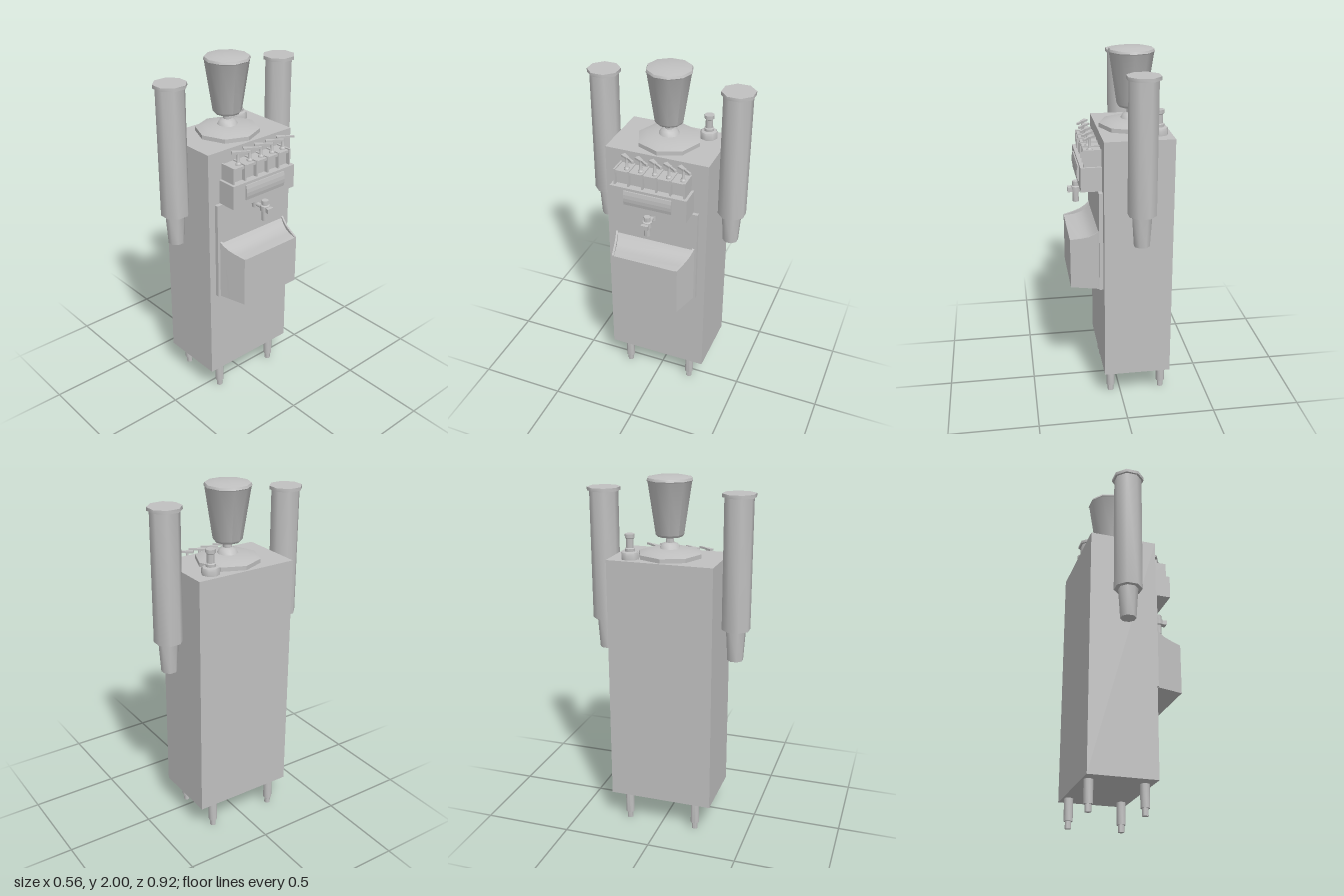
import * as THREE from 'three';
import { toCreasedNormals } from 'three/addons/utils/BufferGeometryUtils.js';

const steel = new THREE.MeshStandardMaterial({ color: 0xc0c0c0 });
steel.name = 'brushed steel';

function add(parent, name, geometry, x = 0, y = 0, z = 0) {
  const mesh = new THREE.Mesh(geometry, steel);
  mesh.name = name;
  mesh.position.set(x, y, z);
  parent.add(mesh);
  return mesh;
}

// Box given by its limits on each axis
function box(parent, name, x0, x1, y0, y1, z0, z1) {
  return add(parent, name, new THREE.BoxGeometry(x1 - x0, y1 - y0, z1 - z0),
    (x0 + x1) / 2, (y0 + y1) / 2, (z0 + z1) / 2);
}

// Turned part from [radius, y] pairs, listed bottom to top
function turned(parent, name, profile, sides, x, z, phase = 0, crease = 0.87) {
  const points = profile.map(([r, y]) => new THREE.Vector2(r, y));
  const geometry = new THREE.LatheGeometry(points, sides, phase);
  return add(parent, name, toCreasedNormals(geometry, crease), x, 0, z);
}

// Tapered drip tray with a scooped top between two raised side rims
function trayGeometry() {
  // x, half width, rim height, depth of the scoop below the rim
  const sections = [
    [0.12, 0.238, 1.045, 0.01], [0.145, 0.231, 1.025, 0.018], [0.175, 0.223, 1.008, 0.02],
    [0.215, 0.212, 0.997, 0.016], [0.277, 0.195, 0.985, 0.003],
  ];
  const base = 0.695, position = [], index = [];
  for (const [x, w, top, depth] of sections) {
    const i = w - 0.012, low = top - depth;
    const loop = [[w, base], [-w, base], [-w, top], [-i, top], [-i, low], [i, low], [i, top], [w, top]];
    for (const [z, y] of loop) position.push(x, y, z);
  }
  for (let s = 0; s < sections.length - 1; s++) {
    for (let j = 0; j < 8; j++) {
      const a = s * 8 + j, b = s * 8 + (j + 1) % 8;
      index.push(a, b, b + 8, a, b + 8, a + 8);
    }
  }
  const f = (sections.length - 1) * 8;
  for (const k of [0, 1, 4, 1, 2, 3, 1, 3, 4, 0, 4, 5, 0, 5, 6, 0, 6, 7]) index.push(f + k);
  const geometry = new THREE.BufferGeometry();
  geometry.setAttribute('position', new THREE.Float32BufferAttribute(position, 3));
  geometry.setIndex(index);
  return toCreasedNormals(geometry, 0.6);
}

export function createModel() {
  const model = new THREE.Group();
  model.name = 'drinkMachine';

  box(model, 'cabinet', -0.28, 0.1, 0.165, 1.565, -0.297, 0.294);

  // Stepped feet
  for (const x of [-0.245, 0.055]) {
    for (const z of [-0.2, 0.2]) {
      turned(model, 'foot', [[0, 0], [0.017, 0], [0.017, 0.04], [0.025, 0.04], [0.025, 0.17]], 10, x, z);
    }
  }

  // Cup dispensers on both sides
  for (const side of [-1, 1]) {
    turned(model, 'cupDispenser', [
      [0, 1.01], [0.044, 1.01], [0.055, 1.187], [0.079, 1.187], [0.079, 1.903],
      [0.091, 1.903], [0.091, 1.922], [0, 1.922],
    ], 8, -0.09, side * 0.377, Math.PI / 8);
  }

  // Hopper standing on an octagonal lid
  turned(model, 'hopperLid', [[0.178, 1.56], [0.178, 1.588], [0.13, 1.603], [0.06, 1.612], [0, 1.612]],
    8, -0.09, 0, 0, 0.3);
  turned(model, 'hopperStem', [[0.06, 1.608], [0.045, 1.635], [0.024, 1.643], [0.022, 1.685]], 10, -0.09, 0);
  turned(model, 'hopper', [
    [0, 1.677], [0.07, 1.677], [0.08, 1.69], [0.122, 1.968], [0.127, 1.975],
    [0.122, 1.988], [0.075, 1.997], [0, 2],
  ], 10, -0.09, 0, 0, 0.75);

  // Small filler neck at the back corner of the top
  turned(model, 'fillerNeck', [
    [0.05, 1.56], [0.05, 1.59], [0.045, 1.603], [0.028, 1.607], [0.028, 1.622],
    [0.021, 1.626], [0.021, 1.675], [0.028, 1.68], [0.028, 1.7], [0, 1.7],
  ], 8, -0.21, -0.185);

  // Splash panel and drip tray
  box(model, 'splashPanel', 0.1, 0.122, 0.695, 1.267, -0.25, 0.253);
  add(model, 'dripTray', trayGeometry());

  // Dispensing head with its front plate
  const head = new THREE.Group();
  head.name = 'dispensingHead';
  model.add(head);
  box(head, 'headBox', 0.1, 0.215, 1.27, 1.405, -0.22, 0.22);
  const bulge = new THREE.Shape();
  bulge.moveTo(0.21, 1.305);
  bulge.lineTo(0.222, 1.305);
  bulge.quadraticCurveTo(0.234, 1.347, 0.222, 1.39);
  bulge.lineTo(0.21, 1.39);
  add(head, 'frontPlate', new THREE.ExtrudeGeometry(bulge, { depth: 0.275, bevelEnabled: false, curveSegments: 4 }),
    0, 0, -0.137);

  // Flavour rack: recessed back, pillars, top slab
  box(head, 'rackBack', 0.1, 0.175, 1.405, 1.48, -0.195, 0.195);
  box(head, 'rackTop', 0.1, 0.193, 1.475, 1.49, -0.195, 0.195);
  for (let i = 0; i < 6; i++) {
    const z = -0.2 + i * 0.08;
    box(head, 'rackPillar', 0.1, 0.198, 1.405, 1.497, z - 0.005, z + 0.005);
  }

  // Slanted levers on short posts
  const paddle = new THREE.Shape();
  paddle.moveTo(-0.036, -0.014);
  paddle.lineTo(0.012, -0.009);
  paddle.lineTo(0.012, -0.005);
  paddle.lineTo(0.062, -0.007);
  paddle.lineTo(0.062, 0.007);
  paddle.lineTo(0.012, 0.005);
  paddle.lineTo(0.012, 0.009);
  paddle.lineTo(-0.036, 0.014);
  const paddleGeometry = new THREE.ExtrudeGeometry(paddle, { depth: 0.011, bevelEnabled: false });
  paddleGeometry.rotateX(-Math.PI / 2);
  for (let i = 0; i < 5; i++) {
    const z = -0.16 + i * 0.08;
    turned(head, 'leverPost', [[0.016, 1.485], [0.016, 1.498], [0.009, 1.505], [0.008, 1.56]], 8, 0.161, z - 0.02);
    add(head, 'lever', paddleGeometry, 0.161, 1.556, z - 0.02).rotation.y = 0.98;
  }

  // Tap under the head
  const tap = new THREE.Group();
  tap.name = 'tap';
  model.add(tap);
  turned(tap, 'supplyPipe', [[0, 1.195], [0.02, 1.195], [0.02, 1.275]], 10, 0.145, 0);
  const arm = add(tap, 'tapArm', new THREE.CylinderGeometry(0.013, 0.013, 0.1, 10), 0.17, 1.213, 0);
  arm.rotation.z = Math.PI / 2;
  turned(tap, 'tapNozzle', [
    [0, 1.14], [0.018, 1.14], [0.018, 1.195], [0.027, 1.198], [0.027, 1.23],
    [0.019, 1.234], [0.019, 1.26], [0, 1.26],
  ], 10, 0.222, 0);
  const tab = new THREE.Shape();
  tab.moveTo(0.23, -0.014);
  tab.lineTo(0.268, -0.022);
  tab.lineTo(0.268, 0.022);
  tab.lineTo(0.23, 0.014);
  const tabGeometry = new THREE.ExtrudeGeometry(tab, { depth: 0.026, bevelEnabled: false });
  tabGeometry.rotateX(-Math.PI / 2);
  add(tap, 'tapHandle', tabGeometry, 0, 1.2, 0);

  return model;
}
